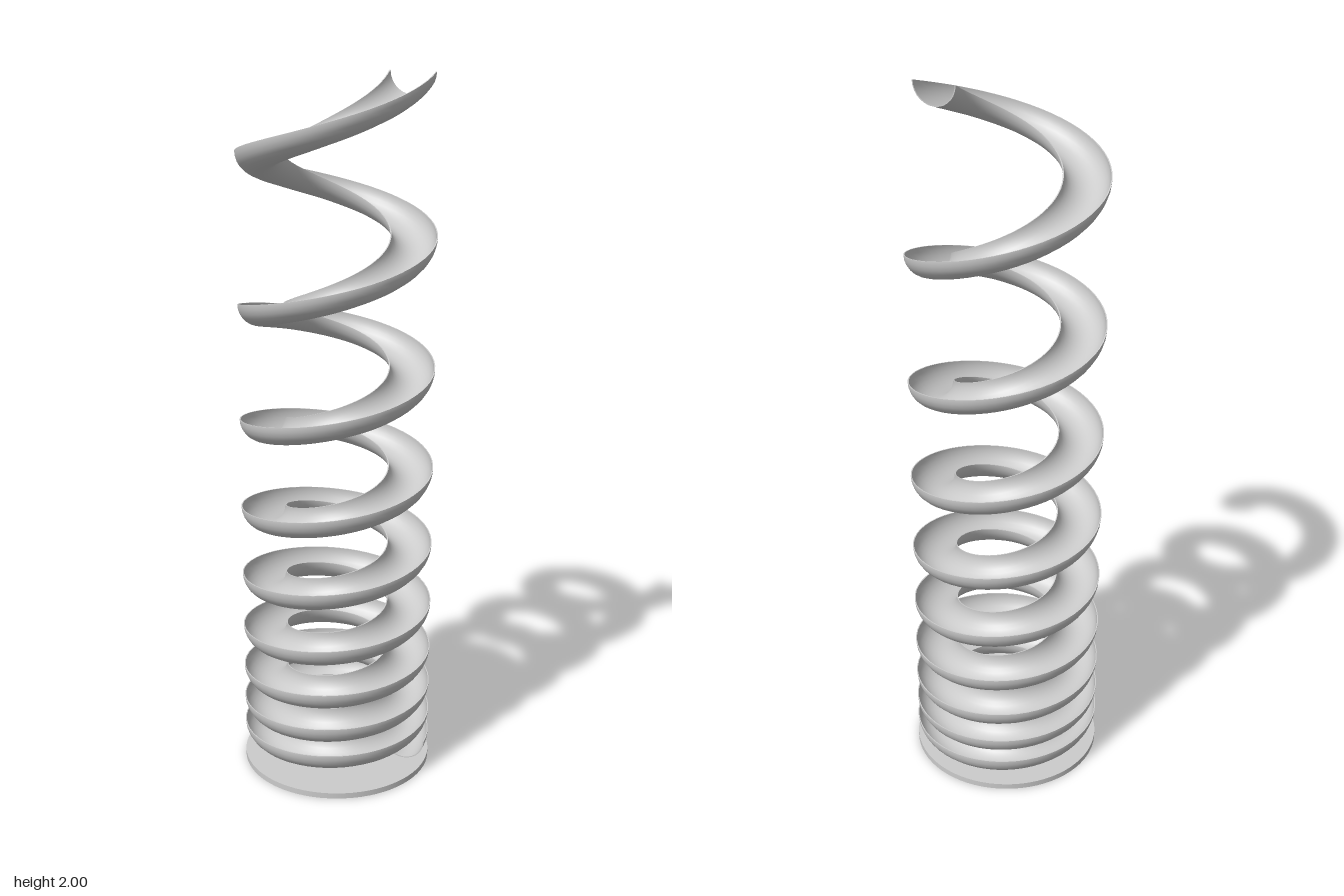
import * as THREE from 'three';
import { ParametricGeometry } from 'three/addons/geometries/ParametricGeometry.js';

const TURNS = 9;
const PATH_RADIUS = 0.2065;  // axis to the middle of the channel
const TUBE = 0.0635;         // outer radius of the half-pipe
const WALL = 0.003;
const GROWTH = 1.265;        // each turn rises this much more than the one below
const RIM_START = 0.08;
const RIM_END = 2;

// Height of the channel rim after a number of turns
function rimHeight(turn) {
  const f = (GROWTH ** turn - 1) / (GROWTH ** TURNS - 1);
  return RIM_START + (RIM_END - RIM_START) * f;
}

// Sweeps a profile (v -> [radial offset, height offset]) up the spiral
function sweep(profile, stacks) {
  return new ParametricGeometry((u, v, target) => {
    const turn = u * TURNS;
    const angle = turn * Math.PI * 2;
    const [dr, dy] = profile(v);
    const r = PATH_RADIUS + dr;
    target.set(r * Math.cos(angle), rimHeight(turn) + dy, -r * Math.sin(angle));
  }, TURNS * 56, stacks);
}

// Lower half circle; forward runs from the inner rim to the outer rim
const halfPipe = (radius, forward) => (v) => {
  const a = Math.PI * (1 + (forward ? v : 1 - v));
  return [radius * Math.cos(a), radius * Math.sin(a)];
};

export function createModel() {
  const group = new THREE.Group();
  group.name = 'spiralSlide';
  const material = new THREE.MeshStandardMaterial({ color: 0xcccccc, side: THREE.DoubleSide });
  const add = (parent, name, geometry) => {
    const mesh = new THREE.Mesh(geometry, material);
    mesh.name = name;
    parent.add(mesh);
    return mesh;
  };

  // Round base plate
  const baseHeight = RIM_START - TUBE;
  add(group, 'basePlate', new THREE.CylinderGeometry(0.27, 0.27, baseHeight, 72))
    .position.y = baseHeight / 2;

  // Open half-pipe channel: underside, trough and the two narrow rims
  const channel = new THREE.Group();
  channel.name = 'channel';
  group.add(channel);
  const inner = TUBE - WALL;
  add(channel, 'underside', sweep(halfPipe(TUBE, true), 14));
  add(channel, 'trough', sweep(halfPipe(inner, false), 14));
  add(channel, 'outerRim', sweep((v) => [TUBE - WALL * v, 0], 1));
  add(channel, 'innerRim', sweep((v) => [-inner - WALL * v, 0], 1));

  // Thin end edges of the channel wall
  const edge = new THREE.RingGeometry(inner, TUBE, 14, 1, Math.PI, Math.PI);
  add(channel, 'lowerEnd', edge).position.set(PATH_RADIUS, RIM_START, 0);
  const upper = add(channel, 'upperEnd', edge);
  upper.position.set(PATH_RADIUS, RIM_END, 0);
  upper.rotation.y = Math.PI;

  return group;
}
